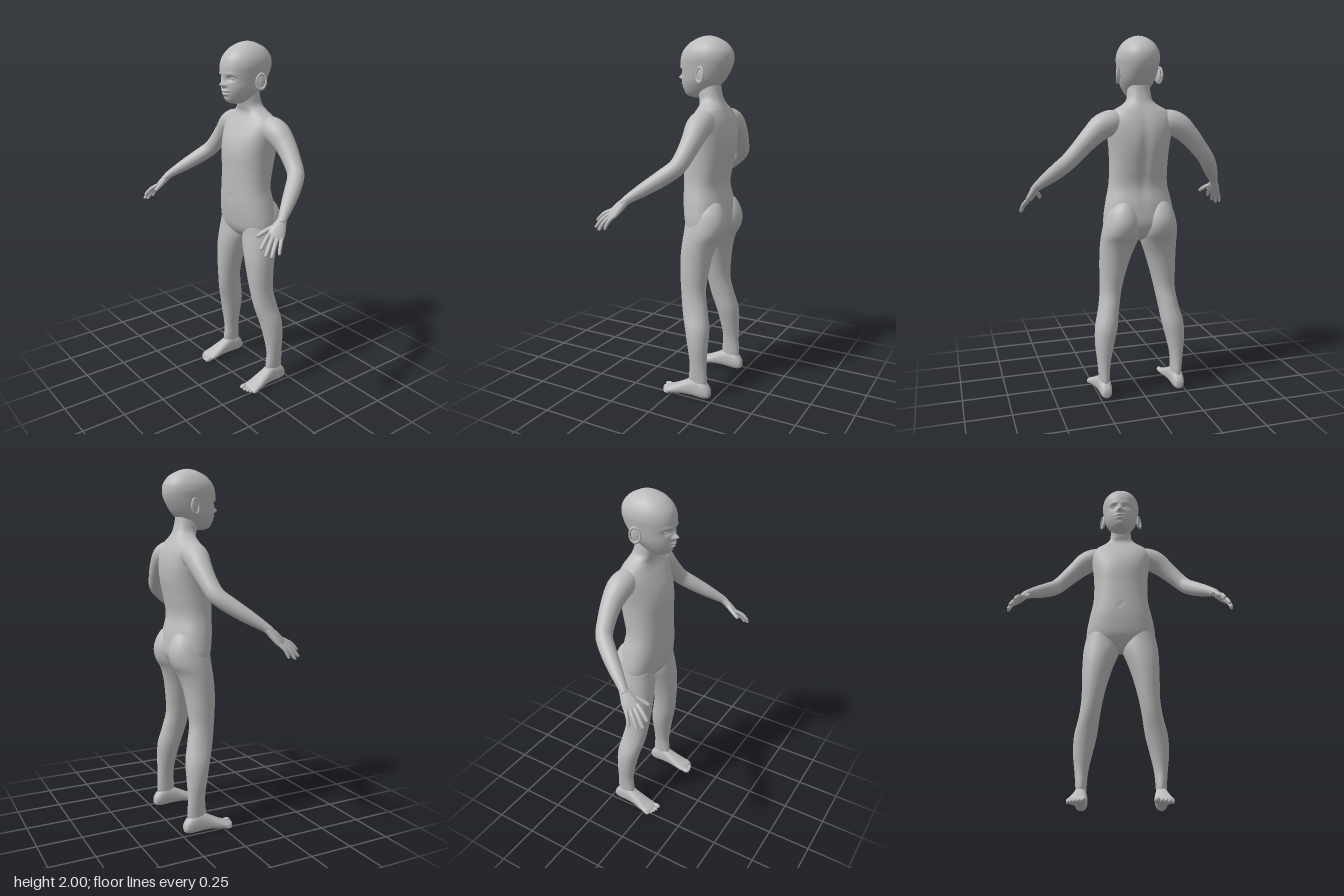
import * as THREE from 'three';

const skin = new THREE.MeshStandardMaterial({ color: 0xbcbcbc });
skin.name = 'plain grey';
const V = (x, y, z) => new THREE.Vector3(x, y, z);

// Smoothly resample rows of numbers, n steps between neighbours
function spline(rows, n) {
  const out = [], at = i => rows[Math.min(rows.length - 1, Math.max(0, i))];
  for (let i = 0; i < rows.length - 1; i++) {
    const [p, q, r, w] = [at(i - 1), at(i), at(i + 1), at(i + 2)];
    for (let s = 0; s < n; s++) {
      const t = s / n;
      out.push(q.map((b, k) => {
        const c1 = r[k] - p[k];
        const c2 = 2 * p[k] - 5 * b + 4 * r[k] - w[k];
        const c3 = 3 * (b - r[k]) + w[k] - p[k];
        return b + 0.5 * t * (c1 + t * (c2 + t * c3));
      }));
    }
  }
  out.push(at(rows.length - 1));
  return out;
}

// Skin a list of rings { c, u, v }: centre and the two half-axis vectors
function loft(rings, seg, power = 1) {
  const pos = [], idx = [], n = rings.length;
  const bend = x => Math.sign(x) * Math.abs(x) ** power;
  rings.forEach(({ c, u, v }) => {
    for (let j = 0; j < seg; j++) {
      const a = j / seg * Math.PI * 2;
      const p = c.clone().addScaledVector(u, bend(Math.cos(a))).addScaledVector(v, bend(Math.sin(a)));
      pos.push(p.x, p.y, p.z);
    }
  });
  for (let i = 0; i < n - 1; i++) {
    for (let j = 0; j < seg; j++) {
      const k = (j + 1) % seg, a = i * seg + j, b = i * seg + k;
      idx.push(a, a + seg, b, b, a + seg, b + seg);
    }
  }
  // End caps
  pos.push(...rings[0].c.toArray(), ...rings[n - 1].c.toArray());
  for (let j = 0; j < seg; j++) {
    const k = (j + 1) % seg, top = (n - 1) * seg;
    idx.push(n * seg, j, k, n * seg + 1, top + k, top + j);
  }
  const g = new THREE.BufferGeometry();
  g.setAttribute('position', new THREE.Float32BufferAttribute(pos, 3));
  g.setIndex(idx);
  g.computeVertexNormals();
  return g;
}

// Level cross-sections: [y, xMin, xMax, zFront, zBack]
const stack = (rows, seg, power, n = 6) => loft(spline(rows, n).map(([y, x0, x1, zf, zb]) => ({
  c: V((x0 + x1) / 2, y, (zf + zb) / 2), u: V((x1 - x0) / 2, 0, 0), v: V(0, 0, (zf - zb) / 2),
})), seg, power);

// Cross-sections along a path: [x, y, z, halfWidth, halfThickness], width along ref
function limb(rows, ref, seg = 28, n = 6) {
  const s = spline(rows, n), p = s.map(r => V(r[0], r[1], r[2]));
  return loft(s.map((r, i) => {
    const t = p[Math.min(i + 1, p.length - 1)].clone().sub(p[Math.max(i - 1, 0)]).normalize();
    const u = ref.clone().addScaledVector(t, -ref.dot(t)).normalize();
    return { c: p[i], u: u.clone().multiplyScalar(r[3]), v: u.clone().cross(t).multiplyScalar(r[4]) };
  }), seg);
}

// Soft bumps [x, y, radiusX, radiusY, push in z] on the front (side 1) or back (side -1)
function sculpt(g, bumps, side, zMid) {
  const p = g.attributes.position;
  for (let i = 0; i < p.count; i++) {
    if ((p.getZ(i) - zMid) * side < 0) continue;
    let d = 0;
    for (const [x, y, rx, ry, push] of bumps) {
      const dx = (p.getX(i) - x) / rx, dy = (p.getY(i) - y) / ry;
      d += push * Math.exp(-dx * dx - dy * dy);
    }
    p.setZ(i, p.getZ(i) + d);
  }
  g.computeVertexNormals();
  return g;
}

function mirror(g) {
  const m = g.clone().scale(-1, 1, 1), a = m.index.array;
  for (let i = 0; i < a.length; i += 3) [a[i], a[i + 1]] = [a[i + 1], a[i]];
  m.computeVertexNormals();
  return m;
}

const ball = (x, y, z, a, b, c, ry = 0) =>
  new THREE.SphereGeometry(1, 24, 16).scale(a, b, c).rotateY(ry).translate(x, y, z);

export function createModel() {
  const model = new THREE.Group();
  model.name = 'mannequin';
  const add = (name, g) => {
    const m = new THREE.Mesh(g, skin);
    m.name = name;
    model.add(m);
  };
  const pair = (name, g) => {
    add('left ' + name, g);
    add('right ' + name, mirror(g));
  };
  const even = rows => rows.map(([y, w, f, b]) => [y, -w, w, f, b]);

  // Torso and neck
  const torso = stack(even([
    [0.885, 0.02, -0.08, -0.13], [0.91, 0.09, -0.05, -0.18], [0.95, 0.185, -0.02, -0.215],
    [1.0, 0.203, -0.003, -0.235], [1.1, 0.188, 0.012, -0.228], [1.2, 0.166, 0.016, -0.21],
    [1.3, 0.162, 0.018, -0.228], [1.4, 0.167, 0.02, -0.248], [1.48, 0.178, 0.003, -0.25],
    [1.55, 0.185, -0.03, -0.236], [1.6, 0.16, -0.058, -0.215], [1.63, 0.108, -0.066, -0.2],
    [1.66, 0.072, -0.057, -0.186], [1.71, 0.062, -0.045, -0.172], [1.77, 0.055, -0.05, -0.165],
  ]), 80, 0.88);
  sculpt(torso, [[0, 1.145, 0.01, 0.012, -0.007]], 1, -0.1);
  sculpt(torso, [[0, 1.35, 0.025, 0.2, 0.012]], -1, -0.12);
  add('torso', torso);

  // Head with brow, eye sockets, nose, lips and chin
  const head = stack(even([
    [1.672, 0.015, -0.01, -0.05], [1.68, 0.038, 0.018, -0.075], [1.695, 0.056, 0.034, -0.11],
    [1.725, 0.076, 0.048, -0.15], [1.76, 0.093, 0.054, -0.187], [1.8, 0.103, 0.055, -0.215],
    [1.84, 0.11, 0.06, -0.235], [1.88, 0.115, 0.058, -0.243], [1.92, 0.108, 0.044, -0.236],
    [1.96, 0.085, 0.008, -0.205], [1.985, 0.053, -0.038, -0.16], [1.996, 0.026, -0.07, -0.13],
    [2.0, 0.002, -0.099, -0.103],
  ]), 120, 0.95, 9);
  const face = [
    [0, 1.78, 0.013, 0.013, 0.028], [0, 1.803, 0.009, 0.018, 0.01], [0, 1.746, 0.024, 0.007, 0.014],
    [0, 1.728, 0.02, 0.007, 0.012], [0, 1.737, 0.028, 0.003, -0.006], [0, 1.697, 0.022, 0.012, 0.006],
  ];
  for (const s of [-1, 1]) {
    face.push([s * 0.042, 1.812, 0.02, 0.013, -0.014], [s * 0.042, 1.836, 0.028, 0.009, 0.004],
      [s * 0.015, 1.776, 0.008, 0.008, 0.01]);
  }
  add('head', sculpt(head, face, 1, -0.03));
  pair('eye', ball(0.042, 1.812, 0.026, 0.017, 0.011, 0.013));

  // Ears
  pair('ear', ball(0.11, 1.792, -0.105, 0.008, 0.04, 0.025, -0.4));
  pair('ear rim', new THREE.TorusGeometry(0.027, 0.006, 12, 32).scale(1, 1.45, 1)
    .rotateY(Math.PI / 2 - 0.4).rotateX(-0.1).translate(0.117, 1.794, -0.107));

  // Legs, including the rounded hips
  pair('leg', stack([
    [0.05, 0.19, 0.245, -0.12, -0.2], [0.1, 0.188, 0.246, -0.098, -0.208],
    [0.2, 0.18, 0.255, -0.104, -0.204], [0.3, 0.158, 0.265, -0.09, -0.206],
    [0.4, 0.134, 0.261, -0.068, -0.206], [0.5, 0.119, 0.236, -0.04, -0.186],
    [0.6, 0.1, 0.222, -0.024, -0.166], [0.7, 0.075, 0.222, -0.014, -0.172],
    [0.8, 0.044, 0.222, -0.01, -0.187], [0.88, 0.014, 0.22, -0.014, -0.212],
    [0.94, 0.004, 0.215, -0.02, -0.247], [1.0, 0.006, 0.203, -0.025, -0.26],
    [1.06, 0.02, 0.185, -0.04, -0.246], [1.11, 0.05, 0.15, -0.07, -0.215],
    [1.13, 0.09, 0.11, -0.11, -0.17],
  ], 48, 0.96));

  // Feet: [z, centreX, halfWidth, bottom, top]
  const foot = spline([
    [-0.231, 0.217, 0.006, 0.025, 0.04], [-0.224, 0.217, 0.025, 0.008, 0.065],
    [-0.19, 0.217, 0.035, 0, 0.1], [-0.13, 0.218, 0.036, 0.002, 0.112],
    [-0.07, 0.22, 0.042, 0.004, 0.083], [-0.01, 0.224, 0.05, 0, 0.05],
    [0.025, 0.225, 0.052, 0.001, 0.034], [0.045, 0.222, 0.04, 0.006, 0.024],
  ], 5).map(([z, x, w, b, t]) => ({ c: V(x, (b + t) / 2, z), u: V(w, 0, 0), v: V(0, (b - t) / 2, 0) }));
  pair('foot', loft(foot, 36, 0.85));
  [[0.188, 0.05, 0.015, 0.026], [0.212, 0.05, 0.011, 0.024], [0.232, 0.045, 0.0105, 0.022],
    [0.251, 0.036, 0.01, 0.021], [0.268, 0.025, 0.01, 0.019]].forEach(([x, z, r, l], i) =>
    pair('toe ' + (i + 1), ball(x, r, z, r, r, l)));

  // Arms
  const across = V(0.62, -0.25, -0.74);
  pair('arm', limb([
    [0.09, 1.55, -0.14, 0.045], [0.15, 1.545, -0.145, 0.067], [0.215, 1.523, -0.15, 0.068],
    [0.28, 1.467, -0.152, 0.057], [0.34, 1.402, -0.144, 0.049], [0.395, 1.34, -0.125, 0.045],
    [0.44, 1.29, -0.07, 0.043], [0.49, 1.235, 0.005, 0.036], [0.535, 1.185, 0.075, 0.025],
    [0.552, 1.16, 0.102, 0.022],
  ].map(r => [...r, r[3]]), across));

  // Hands
  pair('palm', limb([
    [0.535, 1.185, 0.075, 0.022, 0.02], [0.547, 1.165, 0.096, 0.027, 0.021],
    [0.558, 1.135, 0.125, 0.039, 0.02], [0.571, 1.104, 0.152, 0.042, 0.015],
    [0.577, 1.092, 0.162, 0.034, 0.008],
  ], across));
  const finger = (name, a, b, c, r) => {
    const end = b.clone().lerp(c, 0.9);
    pair(name, limb([[...a.toArray(), r, r], [...b.toArray(), r, r],
      [...end.toArray(), r * 0.8, r * 0.8], [...c.toArray(), r * 0.15, r * 0.15]], across, 14, 5));
  };
  [['index finger', -0.032, V(0.575, 1.06, 0.248), 0.0108],
    ['middle finger', -0.011, V(0.602, 1.03, 0.24), 0.0108],
    ['ring finger', 0.011, V(0.615, 1.02, 0.212), 0.0108],
    ['little finger', 0.031, V(0.622, 1.03, 0.17), 0.0095],
  ].forEach(([name, offset, tip, r]) => {
    const base = V(0.566, 1.112, 0.146).addScaledVector(across, offset);
    const mid = base.clone().lerp(tip, 0.5).add(V(0.004, 0.006, 0.004));
    finger(name, base, mid, tip, r);
  });
  finger('thumb', V(0.542, 1.152, 0.115), V(0.518, 1.128, 0.165), V(0.502, 1.1, 0.214), 0.0125);

  return model;
}
